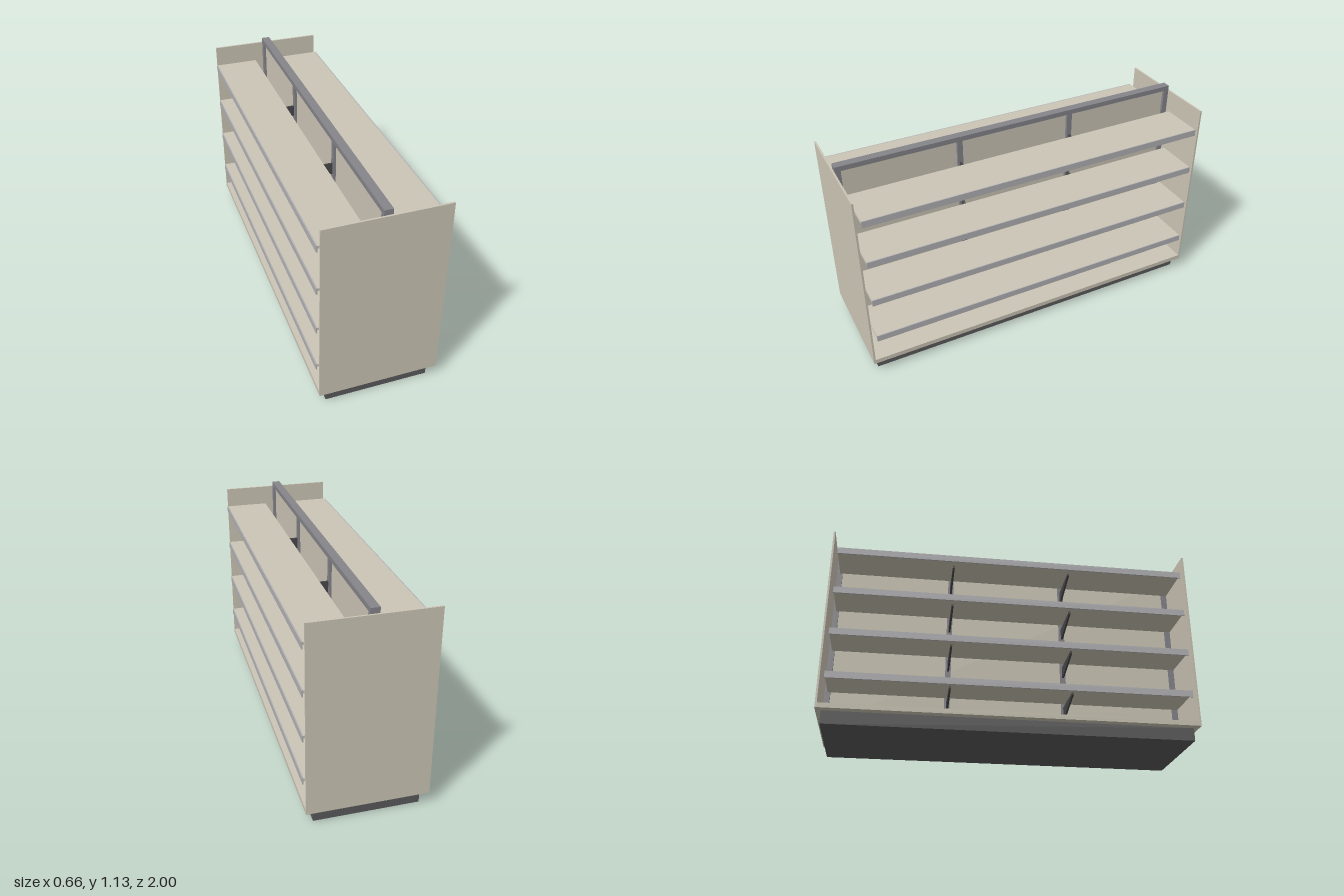
import * as THREE from 'three';

const paint = (color) => new THREE.MeshStandardMaterial({ color });

export function createModel() {
  const model = new THREE.Group();
  const beige = paint(0xcbc5b5), steel = paint(0x85858a);
  const strip = paint(0xb2b2b6), dark = paint(0x5a5a5c), black = paint(0x48484b);

  // Box given by its minimum and maximum corners
  function box(name, material, [x0, y0, z0], [x1, y1, z1], parent = model) {
    const mesh = new THREE.Mesh(new THREE.BoxGeometry(x1 - x0, y1 - y0, z1 - z0), material);
    mesh.position.set((x0 + x1) / 2, (y0 + y1) / 2, (z0 + z1) / 2);
    mesh.name = name;
    parent.add(mesh);
    return mesh;
  }

  // Plinth, bottom deck and end panels
  box('plinth', dark, [-0.278, 0, -0.972], [0.278, 0.07, 0.972]);
  box('bottomDeck', beige, [-0.32, 0.07, -0.99], [0.32, 0.096, 0.99]);
  for (const s of [-1, 1]) {
    const panel = box('endPanel', beige, [-0.32, 0.07, -0.005], [0.32, 1.106, 0.005]);
    panel.position.z = s * 0.995;
  }

  // Central frame: posts, top rail and back panel
  const postZ = [-0.975, -0.328, 0.328, 0.975];
  for (const z of postZ) {
    box('post', steel, [-0.023, 0.096, z - 0.015], [0.023, 1.108, z + 0.015]);
  }
  box('topRail', steel, [-0.023, 1.108, -0.99], [0.023, 1.135, 0.99]);
  box('backPanel', beige, [-0.008, 0.096, -0.962], [0.008, 1.108, 0.962]);

  // Tapered bracket, drawn from the shelf top line downwards
  const profile = new THREE.Shape([
    [0.023, -0.016], [0.023, -0.078], [0.045, -0.078], [0.25, -0.03], [0.25, -0.016],
  ].map(([x, y]) => new THREE.Vector2(x, y)));
  const bracketGeometry = new THREE.ExtrudeGeometry(profile, { depth: 0.01, bevelEnabled: false });
  bracketGeometry.translate(0, 0, -0.005);

  // Shelves on both sides, each with a front strip and two brackets
  for (const turn of [0, Math.PI]) {
    const side = new THREE.Group();
    side.name = turn ? 'rightShelves' : 'leftShelves';
    side.rotation.y = turn;
    for (const y of [0.265, 0.51, 0.755, 1.0]) {
      const shelf = new THREE.Group();
      shelf.name = 'shelf';
      shelf.position.y = y;
      box('shelfBoard', beige, [0.077, -0.016, -0.968], [0.322, 0, 0.968], shelf);
      box('priceStrip', strip, [0.322, -0.036, -0.968], [0.328, 0, 0.968], shelf);
      for (const z of [-0.328, 0.328]) {
        const bracket = new THREE.Mesh(bracketGeometry, black);
        bracket.name = 'bracket';
        bracket.position.z = z;
        shelf.add(bracket);
      }
      side.add(shelf);
    }
    model.add(side);
  }
  return model;
}
